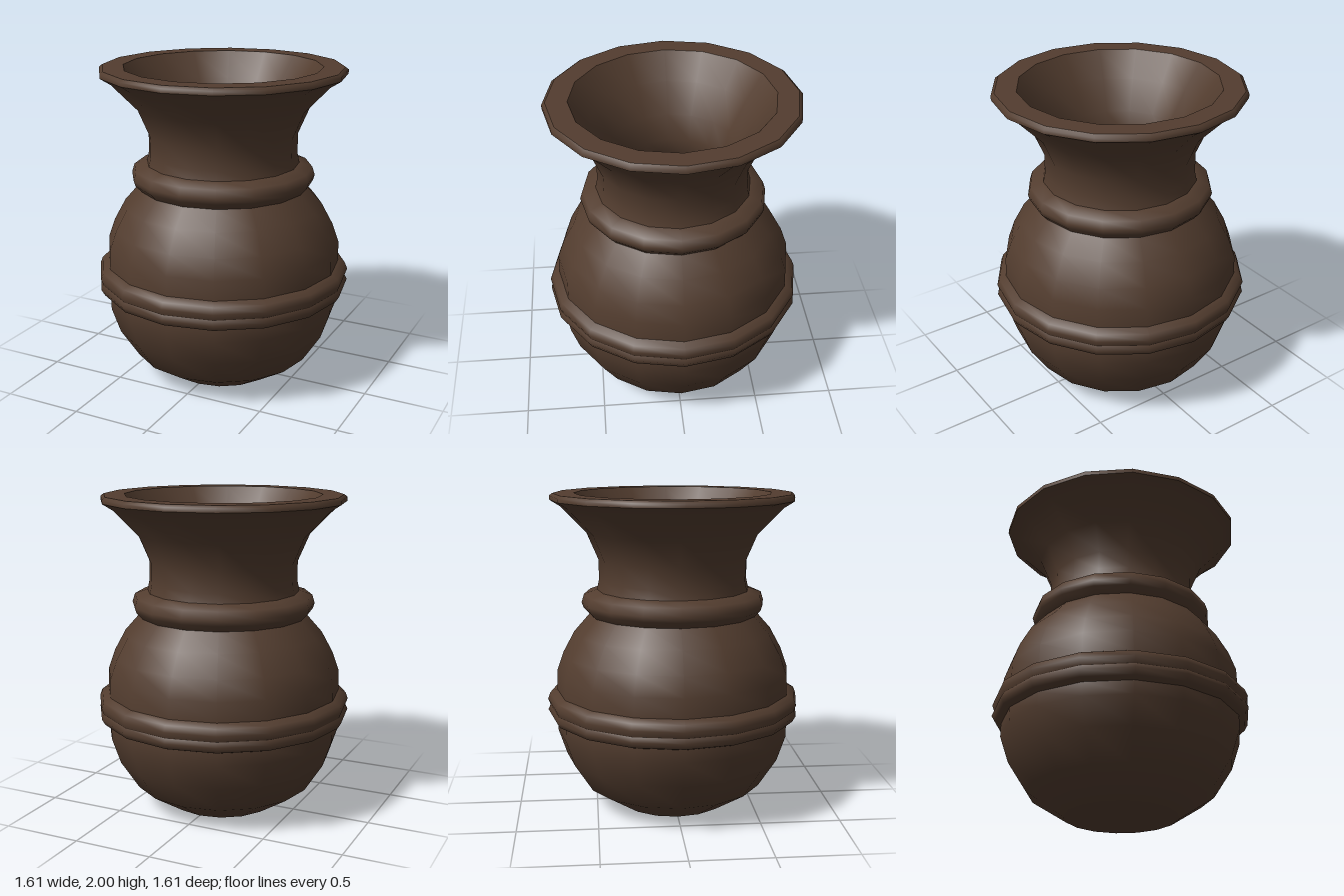
import * as THREE from 'three';

const SIDES = 16;

export function createModel() {
  const urn = new THREE.Group();
  urn.name = 'urn';
  const clay = new THREE.MeshStandardMaterial({ color: 0x533d2f });
  clay.name = 'brown clay';

  // Each part is a smooth lathe; the breaks between parts stay sharp.
  const turn = (name, profile) => {
    const points = profile.map(([r, y]) => new THREE.Vector2(r, y));
    const mesh = new THREE.Mesh(new THREE.LatheGeometry(points, SIDES), clay);
    mesh.name = name;
    urn.add(mesh);
  };

  // Outside, from the foot upwards
  turn('base', [[0, 0], [0.35, 0]]);
  turn('lowerBelly', [[0.35, 0], [0.573, 0.143], [0.69, 0.325], [0.745, 0.49], [0.745, 0.573]]);
  turn('beltLowerBead', [[0.745, 0.573], [0.784, 0.588], [0.805, 0.625], [0.79, 0.655]]);
  turn('beltUpperBead', [[0.79, 0.655], [0.805, 0.695], [0.79, 0.735], [0.745, 0.757]]);
  turn('upperBelly', [[0.745, 0.757], [0.742, 0.88], [0.7, 1.0], [0.627, 1.135], [0.53, 1.245]]);
  turn('collar', [[0.53, 1.245], [0.567, 1.285], [0.578, 1.32], [0.562, 1.372], [0.48, 1.4]]);
  turn('neck', [[0.48, 1.4], [0.467, 1.46], [0.467, 1.586], [0.54, 1.756], [0.7, 1.92], [0.764, 1.96]]);
  turn('lipEdge', [[0.764, 1.96], [0.765, 1.985], [0.745, 2]]);
  turn('lipTop', [[0.745, 2], [0.615, 2]]);

  // Hollow inside, from the mouth down to the floor
  turn('hollow', [[0.615, 2], [0.5, 1.84], [0.39, 1.66], [0.35, 1.5], [0.37, 1.36], [0.46, 1.22],
    [0.59, 1.04], [0.65, 0.85], [0.65, 0.55], [0.55, 0.3], [0.35, 0.13], [0, 0.07]]);

  return urn;
}
